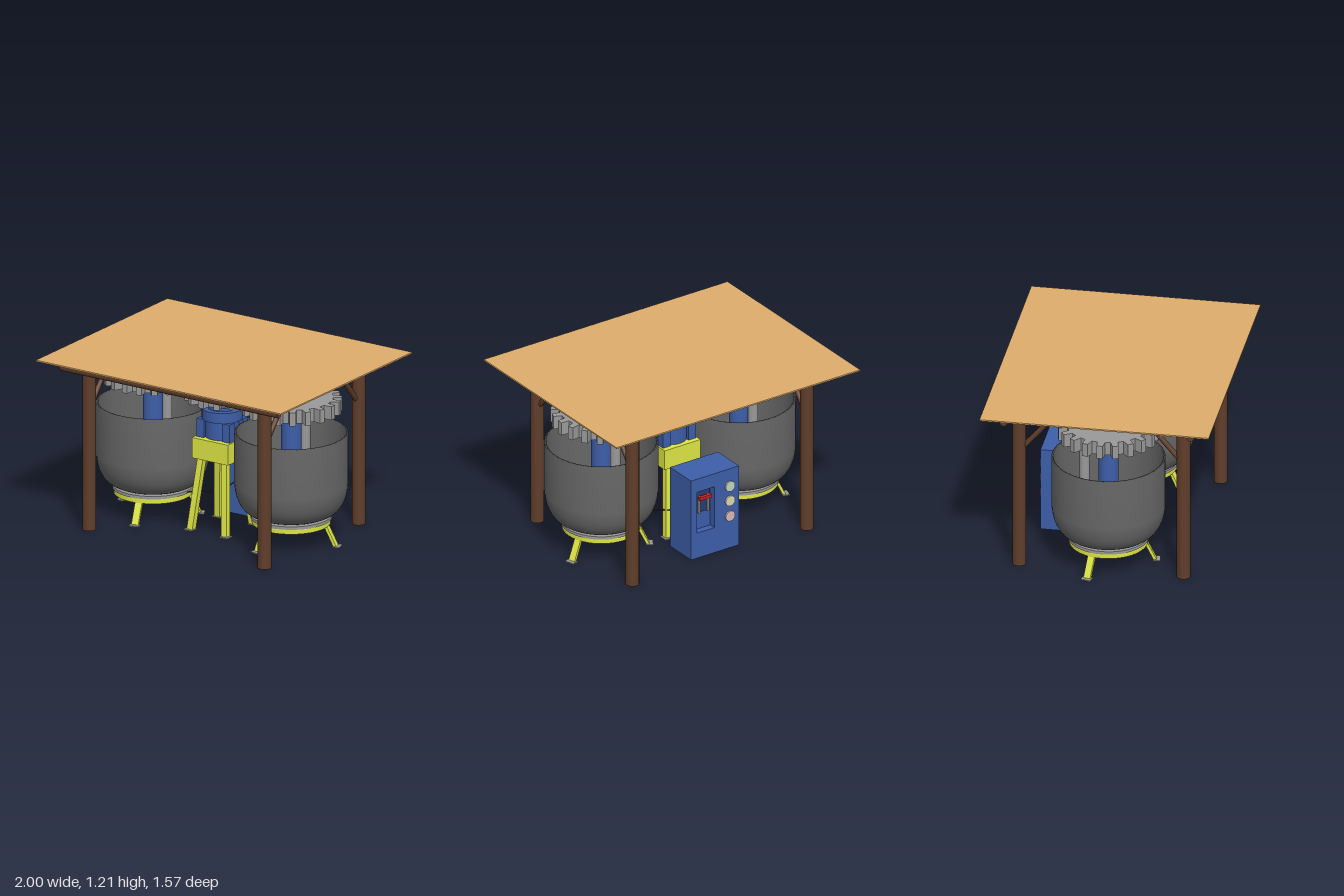
import * as THREE from 'three';

const mat = (color, side = THREE.FrontSide) => new THREE.MeshStandardMaterial({ color, side });
const M = {
  roof: mat(0xdeac6b), wood: mat(0x5f3d2a), blue: mat(0x3d5ea8), navy: mat(0x263c70),
  yellow: mat(0xdde645), bowl: mat(0x666666, THREE.DoubleSide), gear: mat(0x999999),
  black: mat(0x222222), red: mat(0xcc2222), lampG: mat(0xbfd8c0), lampY: mat(0xd8d8b8), lampR: mat(0xd8b8b8),
};
const CZ = 0.022; // z of the machine axis
const BX = 0.565; // x of each bowl

function add(parent, name, geo, material, x = 0, y = 0, z = 0) {
  const m = new THREE.Mesh(geo, material);
  m.name = name;
  m.position.set(x, y, z);
  parent.add(m);
  return m;
}
const box = (p, name, mt, w, h, d, x, y, z) => add(p, name, new THREE.BoxGeometry(w, h, d), mt, x, y, z);
// Upright cylinder between two heights
const cyl = (p, name, mt, r, y0, y1, x = 0, z = 0, seg = 32) =>
  add(p, name, new THREE.CylinderGeometry(r, r, y1 - y0, seg), mt, x, (y0 + y1) / 2, z);
// Turn a mesh so its y axis runs from a to b
function span(mesh, a, b) {
  mesh.position.copy(a).add(b).multiplyScalar(0.5);
  mesh.quaternion.setFromUnitVectors(new THREE.Vector3(0, 1, 0), b.clone().sub(a).normalize());
  return mesh;
}
const V = (x, y, z) => new THREE.Vector3(x, y, z);

// Spur gear with tapered teeth, lying flat
function gearGeo(rOut, rRoot, teeth, height, phase) {
  const pts = [];
  const step = (Math.PI * 2) / teeth;
  for (let i = 0; i < teeth; i++) {
    for (const [f, r] of [[-0.29, rRoot], [-0.19, rOut], [0.19, rOut], [0.29, rRoot]]) {
      const a = (i + f + phase) * step;
      pts.push(new THREE.Vector2(Math.cos(a) * r, Math.sin(a) * r));
    }
  }
  const g = new THREE.ExtrudeGeometry(new THREE.Shape(pts), { depth: height, bevelEnabled: false });
  return g.rotateX(-Math.PI / 2);
}

function buildShelter(root) {
  const g = new THREE.Group();
  g.name = 'shelter';
  root.add(g);
  box(g, 'roofSheet', M.roof, 2, 0.01, 1.57, 0, 1.205, 0);
  for (const x of [-0.91, -0.455, 0, 0.455, 0.91]) box(g, 'rafter', M.roof, 0.03, 0.03, 1.37, x, 1.185, 0);
  for (const s of [-1, 1]) {
    box(g, 'purlin', M.roof, 1.85, 0.03, 0.03, 0, 1.185, s * 0.67);
    const beam = cyl(g, 'beam', M.wood, 0.027, -0.888, 0.888, 0, s * 0.64, 20);
    beam.rotation.z = Math.PI / 2;
    beam.position.y = 1.143;
    for (const x of [-0.716, 0.716]) {
      cyl(g, 'post', M.wood, 0.047, 0, 1.17, x, s * 0.563, 24);
      const a = V(x, 0.87, s * 0.55), b = V(x, 1.18, s * 0.285);
      span(add(g, 'brace', new THREE.CylinderGeometry(0.018, 0.018, a.distanceTo(b), 16), M.wood), a, b);
    }
  }
}

// One kneading bowl at the local origin (+x side version)
function buildBowl(root, side) {
  const g = new THREE.Group();
  g.name = side > 0 ? 'leftMixer' : 'rightMixer';
  g.position.set(side * BX, 0, CZ);
  root.add(g);

  // Outer wall up, rim, then the inner wall down
  const arc = (r, y) => new THREE.QuadraticBezierCurve(
    new THREE.Vector2(r - 0.19, y), new THREE.Vector2(r - 0.015, y), new THREE.Vector2(r, 0.43)).getPoints(12);
  const profile = [new THREE.Vector2(0, 0.2), ...arc(0.386, 0.2), new THREE.Vector2(0.386, 0.785),
    new THREE.Vector2(0.37, 0.785), ...arc(0.37, 0.218).reverse(), new THREE.Vector2(0, 0.218)];
  add(g, 'bowl', new THREE.LatheGeometry(profile, 48), M.bowl);
  cyl(g, 'basePlate', M.gear, 0.275, 0.18, 0.201, 0, 0, 40);

  // Open ring and splayed legs
  const ring = [[0.235, 0.145], [0.267, 0.145], [0.267, 0.18], [0.235, 0.18], [0.235, 0.145]];
  for (let i = 0; i < 4; i++) {
    const seg = [ring[i], ring[i + 1]].map(([x, y]) => new THREE.Vector2(x, y));
    add(g, 'baseRing', new THREE.LatheGeometry(seg, 40), M.yellow);
  }
  for (const deg of [-12, 107, -121]) {
    const leg = new THREE.Group();
    leg.name = 'leg';
    leg.rotation.y = THREE.MathUtils.degToRad(side * deg);
    g.add(leg);
    const a = V(0, 0.005, 0.315), b = V(0, 0.16, 0.24);
    span(box(leg, 'legBar', M.yellow, 0.05, a.distanceTo(b), 0.02), a, b);
    box(leg, 'foot', M.gear, 0.07, 0.008, 0.05, 0, 0.004, 0.325);
  }

  // Column, gear and mixing rod
  cyl(g, 'column', M.blue, 0.068, 0.21, 0.93);
  cyl(g, 'lowerCollar', M.blue, 0.09, 0.92, 0.94);
  add(g, 'bowlGear', gearGeo(0.343, 0.285, 20, 0.095, 0), M.gear, 0, 0.94, 0);
  cyl(g, 'upperCollar', M.blue, 0.085, 1.035, 1.05);
  cyl(g, 'columnCap', M.blue, 0.07, 1.05, 1.063);
  cyl(g, 'mixingRod', M.gear, 0.035, 0.26, 0.945, 0, -0.165, 20);
}

function buildDrive(root) {
  const g = new THREE.Group();
  g.name = 'drive';
  g.position.z = CZ;
  root.add(g);
  box(g, 'standHead', M.yellow, 0.294, 0.145, 0.294, 0, 0.578, 0);
  for (const x of [-1, 1]) for (const z of [-1, 1]) {
    const a = V(x * 0.14, 0.005, z * 0.165), b = V(x * 0.095, 0.51, z * 0.1);
    span(box(g, 'standLeg', M.yellow, 0.045, a.distanceTo(b), 0.045), a, b);
    box(g, 'standFoot', M.gear, 0.065, 0.008, 0.065, x * 0.145, 0.004, z * 0.17);
    box(g, 'motorRib', M.blue, 0.06, 0.13, 0.06, x * 0.105, 0.715, z * 0.08);
  }
  cyl(g, 'motorBody', M.blue, 0.115, 0.65, 0.79);
  cyl(g, 'motorFlange', M.blue, 0.138, 0.78, 0.853);
  cyl(g, 'motorCap', M.blue, 0.097, 0.853, 0.876);
  cyl(g, 'driveShaft', M.gear, 0.038, 0.876, 0.92);
  add(g, 'driveGear', gearGeo(0.256, 0.2, 14, 0.155, 0.5), M.gear, 0, 0.915, 0);
  cyl(g, 'gearHub', M.gear, 0.033, 1.07, 1.085);
}

function buildCabinet(root) {
  const g = new THREE.Group();
  g.name = 'controlCabinet';
  root.add(g);
  box(g, 'cabinetBody', M.blue, 0.394, 0.6, 0.2, 0, 0.3, -0.36);

  // Rear panel with a recess cut through it
  const rect = (P, x0, y0, x1, y1) => new P([[x0, y0], [x1, y0], [x1, y1], [x0, y1]].map((p) => new THREE.Vector2(...p)));
  const panel = rect(THREE.Shape, -0.197, 0, 0.197, 0.6);
  panel.holes.push(rect(THREE.Path, 0.005, 0.19, 0.147, 0.5));
  add(g, 'rearPanel', new THREE.ExtrudeGeometry(panel, { depth: 0.05, bevelEnabled: false }), M.blue, 0, 0, -0.51);
  box(g, 'switchPlate', M.navy, 0.11, 0.16, 0.012, 0.076, 0.4, -0.466);
  for (const x of [0.04, 0.112]) box(g, 'switchArm', M.gear, 0.012, 0.13, 0.025, x, 0.385, -0.48);
  box(g, 'switchHandle', M.red, 0.1, 0.022, 0.025, 0.076, 0.44, -0.5);

  // Signal lamps
  [[0.47, M.lampG], [0.36, M.lampY], [0.245, M.lampR]].forEach(([y, m]) => {
    const lamp = cyl(g, 'lamp', m, 0.038, 0, 0.014, -0.12, -0.514, 24);
    lamp.rotation.x = Math.PI / 2;
    lamp.position.y = y;
  });

  // Terminal frame on the front with a cable to each bowl
  for (const x of [-0.077, -0.028, 0.028, 0.077]) box(g, 'terminalBar', M.navy, 0.01, 0.19, 0.01, x, 0.262, -0.257);
  for (const y of [0.36, 0.31, 0.25]) box(g, 'terminalRail', M.navy, 0.16, 0.008, 0.01, 0, y, -0.257);
  for (const s of [-1, 1]) {
    add(g, 'terminal', new THREE.SphereGeometry(0.013, 14, 10), M.red, s * 0.052, 0.255, -0.25);
    const path = new THREE.CatmullRomCurve3([V(s * 0.052, 0.255, -0.25), V(s * 0.09, 0.22, -0.2),
      V(s * 0.17, 0.195, -0.09), V(s * 0.3, 0.19, CZ)]);
    add(g, 'cable', new THREE.TubeGeometry(path, 24, 0.005, 8), M.black);
  }
}

export function createModel() {
  const root = new THREE.Group();
  root.name = 'coveredTwinMixer';
  buildShelter(root);
  buildBowl(root, 1);
  buildBowl(root, -1);
  buildDrive(root);
  buildCabinet(root);
  return root;
}
